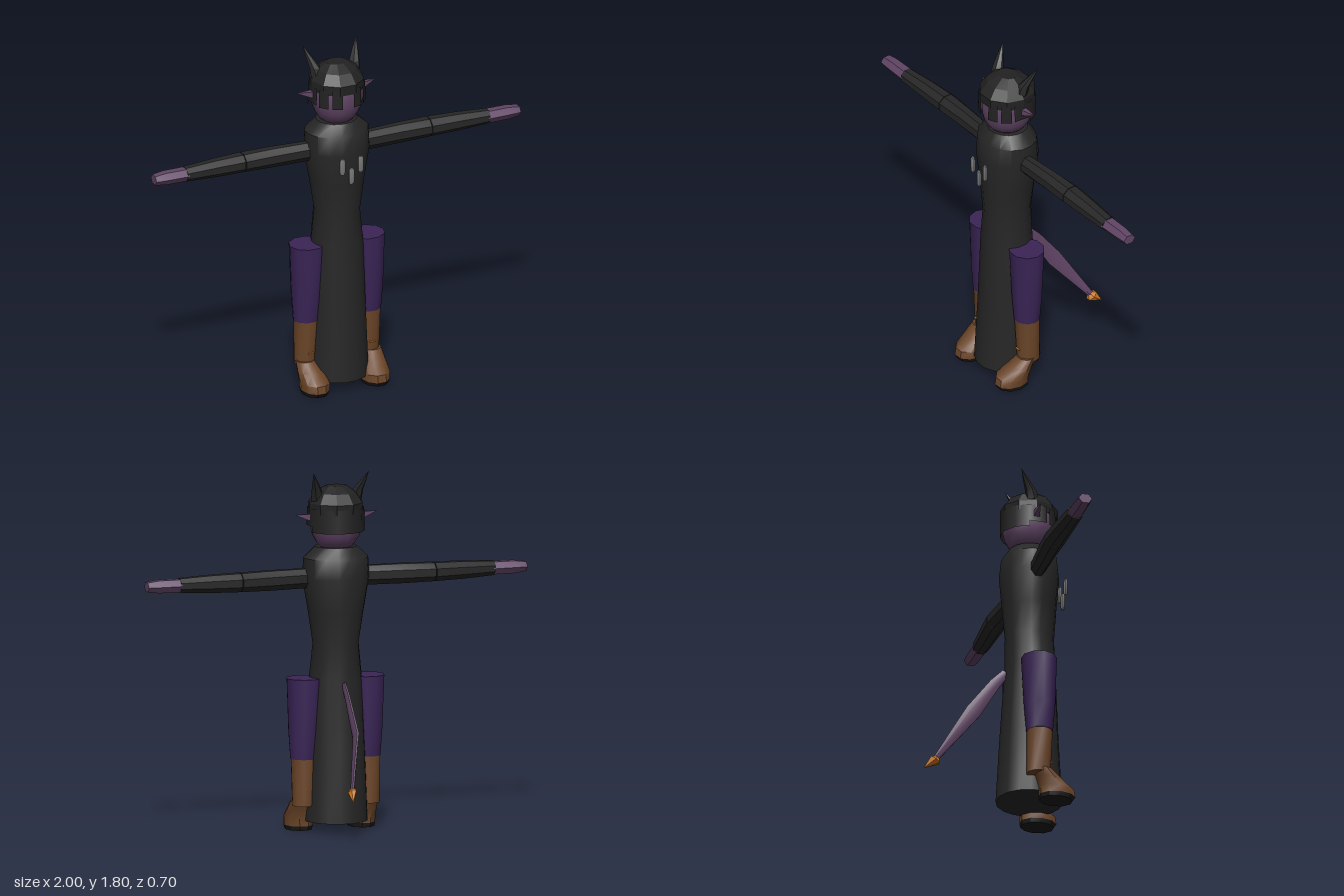
import * as THREE from 'three';
import { toCreasedNormals } from 'three/addons/utils/BufferGeometryUtils.js';

const mat = (name, color, side = THREE.FrontSide) => {
  const m = new THREE.MeshStandardMaterial({ color, side });
  m.name = name;
  return m;
};

// Closed skin over elliptical rings: [centre x, y, z, radius along u, radius along v]
function loft(rings, u, v, n, crease) {
  const pos = [], index = [];
  const axis = (a, i) => (Array.isArray(a[0]) ? a[i] : a);
  rings.forEach(([x, y, z, a, b = a], i) => {
    const U = axis(u, i), V = axis(v, i);
    for (let j = 0; j < n; j++) {
      const t = ((j + 0.5) / n) * Math.PI * 2, c = Math.cos(t) * a, s = Math.sin(t) * b;
      pos.push(x + U[0] * c + V[0] * s, y + U[1] * c + V[1] * s, z + U[2] * c + V[2] * s);
    }
  });
  const last = (rings.length - 1) * n, c0 = pos.length / 3, c1 = c0 + 1;
  pos.push(...rings[0].slice(0, 3), ...rings[rings.length - 1].slice(0, 3));
  for (let j = 0; j < n; j++) {
    const k = (j + 1) % n;
    for (let r = 0; r < last; r += n) index.push(r + j, r + k, r + k + n, r + j, r + k + n, r + j + n);
    index.push(c0, k, j, c1, last + j, last + k);
  }
  const g = new THREE.BufferGeometry();
  g.setAttribute('position', new THREE.Float32BufferAttribute(pos, 3));
  g.setIndex(index);
  return toCreasedNormals(g.toNonIndexed(), crease);
}

const X = [1, 0, 0], Y = [0, 1, 0], Z = [0, 0, 1];
const CZ = 0.165; // depth of the body axis

export function createModel() {
  const group = new THREE.Group();
  const cloth = mat('black cloth', 0x262626);
  const hairMat = mat('black hair', 0x222222, THREE.DoubleSide);
  const skin = mat('purple skin', 0x614566);
  const trouser = mat('dark violet', 0x3a2456);
  const leather = mat('brown leather', 0x6b4528);
  const soleMat = mat('sole black', 0x181818);
  const orange = mat('orange', 0xd0781f);
  const grey = mat('grey metal', 0x777777);

  const add = (name, geo, material, parent = group) => {
    const m = new THREE.Mesh(geo, material);
    m.name = name;
    parent.add(m);
    return m;
  };
  // Upright shapes run bottom to top, with z then x radii
  const upright = (rings, n, crease) => loft(rings, Z, X, n, crease);

  // Long robe
  add('robe', upright([
    [0, 0.05, CZ, 0.167, 0.16], [0, 0.4, CZ, 0.147, 0.147], [0, 0.77, CZ + 0.005, 0.127, 0.133],
    [0, 0.94, CZ + 0.002, 0.123, 0.115], [0, 1.1, CZ, 0.135, 0.14], [0, 1.27, CZ, 0.149, 0.17],
    [0, 1.37, CZ, 0.138, 0.165], [0, 1.425, CZ, 0.1, 0.105],
  ], 16, 0.7), cloth);

  // Head
  add('head', upright([
    [0, 1.41, CZ, 0.065], [0, 1.44, CZ, 0.098, 0.095], [0, 1.48, CZ, 0.122, 0.118],
    [0, 1.53, CZ, 0.134, 0.13], [0, 1.6, CZ, 0.134, 0.13], [0, 1.66, CZ, 0.11],
  ], 14, 0.7), skin);

  // Hair cap, back curtain and fringe strands
  const hair = new THREE.Group();
  hair.name = 'hair';
  group.add(hair);
  add('hairCap', upright([
    [0, 1.595, CZ, 0.143, 0.138], [0, 1.645, CZ, 0.145, 0.138], [0, 1.695, CZ, 0.105, 0.105],
    [0, 1.728, CZ, 0.045, 0.055],
  ], 10, 0.25), hairMat, hair);
  const strand = (name, from, to, bottom) => {
    const a = THREE.MathUtils.degToRad(from), b = THREE.MathUtils.degToRad(to), h = 1.62 - bottom;
    const segs = Math.max(1, Math.round((to - from) / 30));
    const m = add(name, new THREE.CylinderGeometry(0.142, 0.145, h, segs, 1, true, a, b - a), hairMat, hair);
    m.position.set(0, bottom + h / 2, CZ);
  };
  strand('hairBack', 105, 255, 1.502);
  for (const s of [1, -1]) {
    const pair = (name, a, b, y) => (s > 0 ? strand(name, a, b, y) : strand(name, -b, -a, y));
    pair('innerFringe', 12, 33, 1.525);
    pair('outerFringe', 41, 62, 1.525);
    pair('sideHair', 68, 105, 1.53);
  }

  for (const s of [1, -1]) {
    const side = s > 0 ? 'left' : 'right';
    const limb = new THREE.Group();
    limb.name = side + 'Side';
    group.add(limb);
    // Sideways shapes run outward from the body
    const outward = (rings, n, crease) =>
      loft(rings.map(([x, ...r]) => [s * x, ...r]), Y, [0, 0, s], n, crease);
    const standing = (rings, n, crease) => upright(rings.map(([x, ...r]) => [s * x, ...r]), n, crease);

    // Curved horn and pointed ear
    add(side + 'Horn', standing([
      [0.098, 1.655, 0.155, 0.035], [0.108, 1.705, 0.142, 0.028], [0.125, 1.75, 0.115, 0.017],
      [0.145, 1.803, 0.084, 0.001],
    ], 6, 0.3), cloth, limb);
    add(side + 'Ear', outward([
      [0.11, 1.57, CZ, 0.028, 0.022], [0.145, 1.575, CZ, 0.022, 0.02], [0.217, 1.59, CZ - 0.005, 0.001],
    ], 4, 0.2), skin, limb);

    // Sleeves and hand
    add(side + 'UpperSleeve', outward([
      [0.16, 1.27, CZ, 0.052, 0.04], [0.35, 1.27, 0.155, 0.053, 0.048], [0.509, 1.27, 0.15, 0.05, 0.056],
    ], 8, 0.2), cloth, limb);
    add(side + 'LowerSleeve', outward([
      [0.513, 1.27, 0.15, 0.05, 0.056], [0.66, 1.27, 0.154, 0.047, 0.05], [0.83, 1.27, 0.16, 0.038, 0.042],
    ], 8, 0.2), cloth, limb);
    add(side + 'Hand', outward([
      [0.82, 1.27, 0.16, 0.036, 0.042], [0.94, 1.27, 0.16, 0.036, 0.039], [1, 1.27, 0.16, 0.027, 0.035],
    ], 6, 0.2), skin, limb);

    // Trouser leg, boot shaft, foot, sole and clasp
    add(side + 'TrouserLeg', standing([
      [0.168, 0.365, 0.17, 0.066, 0.069], [0.167, 0.5, 0.17, 0.077, 0.08], [0.163, 0.77, 0.168, 0.089, 0.094],
    ], 10, 0.7), trouser, limb);
    add(side + 'BootShaft', standing([
      [0.172, 0.13, 0.163, 0.06, 0.056], [0.168, 0.37, 0.17, 0.065, 0.066],
    ], 10, 0.7), leather, limb);
    add(side + 'Foot', standing([
      [0.165, 0.022, 0.26, 0.094, 0.072], [0.165, 0.06, 0.257, 0.09, 0.074], [0.172, 0.105, 0.22, 0.064, 0.065],
      [0.182, 0.15, 0.185, 0.046, 0.05],
    ], 10, 0.7), leather, limb);
    add(side + 'Sole', standing([
      [0.165, 0, 0.255, 0.085, 0.066], [0.165, 0.022, 0.26, 0.094, 0.072],
    ], 10, 0.5), soleMat, limb);
    add(side + 'BootClasp', new THREE.BoxGeometry(0.03, 0.006, 0.008), orange, limb)
      .position.set(s * 0.168, 0.198, 0.229);
  }

  // Chest ornaments, standing off the robe
  for (const [x, y] of [[-0.05, 1.23], [0, 1.173], [0.05, 1.23]]) {
    const plate = upright([
      [x, y - 0.042, 0.34, 0.007, 0.011], [x, y - 0.03, 0.34, 0.01, 0.015],
      [x, y + 0.03, 0.34, 0.01, 0.015], [x, y + 0.042, 0.34, 0.007, 0.011],
    ], 8, 0.4);
    add('chestOrnament', plate, grey);
  }

  // Flattened tail with a bend, then a pointed tip
  const down = [0, 0.55, -0.83];
  add('tail', loft([
    [0, 0.745, 0.045, 0.022, 0.01], [0, 0.68, -0.01, 0.03, 0.011], [0, 0.51, -0.125, 0.043, 0.012],
    [0.08, 0.265, -0.295, 0.015, 0.01],
  ], down, X, 8, 0.5), skin);
  add('tailTip', loft([
    [0.078, 0.272, -0.288, 0.014, 0.012], [0.081, 0.258, -0.298, 0.032, 0.024], [0.096, 0.216, -0.35, 0.001],
  ], down, X, 6, 0.2), orange);

  return group;
}
